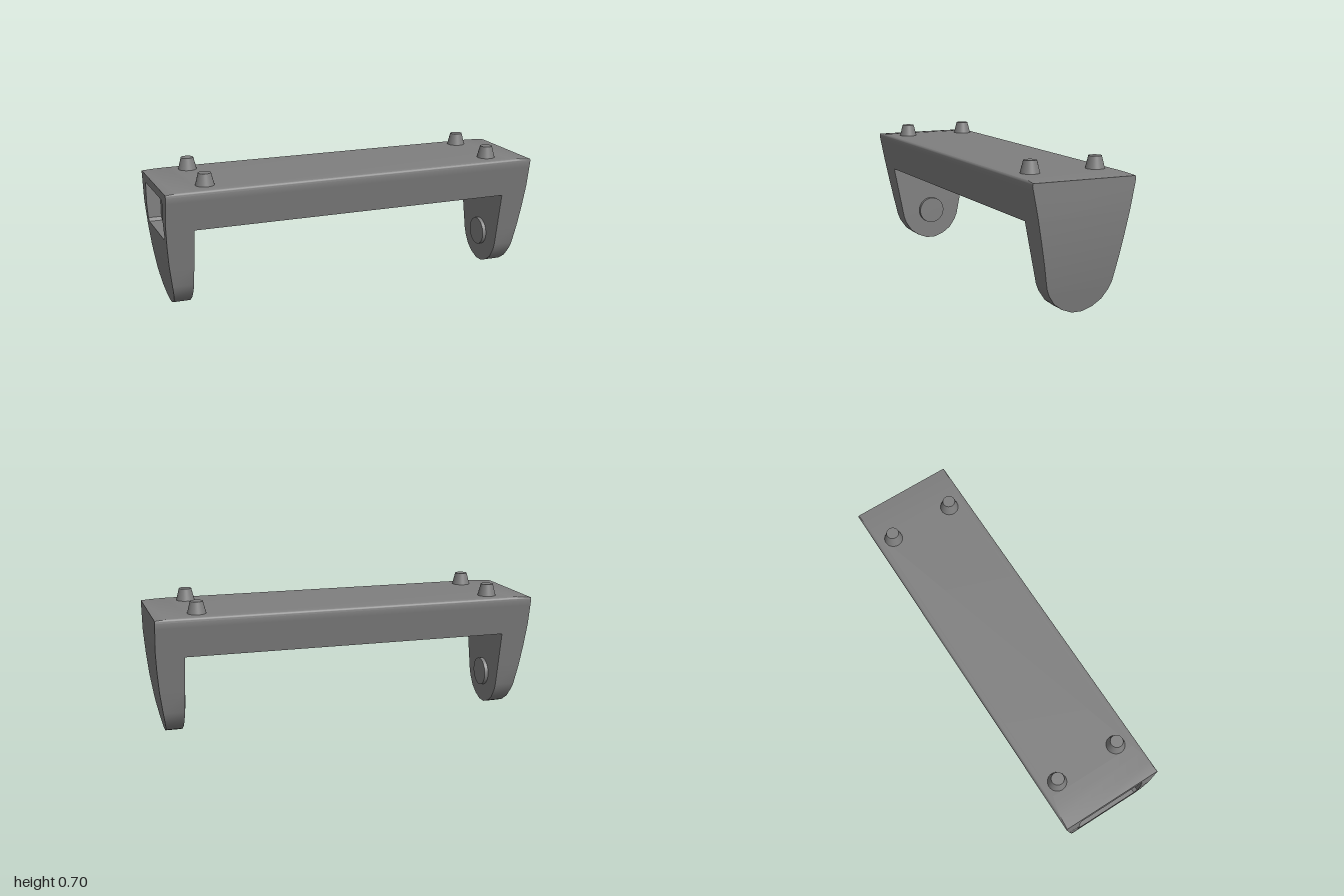
import * as THREE from 'three';
import { toCreasedNormals } from 'three/addons/utils/BufferGeometryUtils.js';

const material = new THREE.MeshStandardMaterial({ color: 0x7f7f7f });

// Linear interpolation through [y, value] pairs
function along(points) {
  return (y) => {
    for (let i = 1; i < points.length; i++) {
      const [y0, v0] = points[i - 1], [y1, v1] = points[i];
      if (y <= y1) return v0 + (v1 - v0) * (y - y0) / (y1 - y0);
    }
    return points[points.length - 1][1];
  };
}

// Half length and half depth of the bracket at each height
const end = along([[0, 0.938], [0.13, 0.963], [0.25, 0.981], [0.36, 0.992], [0.48, 1],
  [0.633, 1], [0.638, 0.94], [0.642, 0.88], [0.643, 0.83]]);
const depth = along([[0, 0.027], [0.02, 0.08], [0.052, 0.125], [0.1, 0.158], [0.135, 0.172],
  [0.62, 0.268], [0.628, 0.267], [0.633, 0.265], [0.638, 0.26], [0.642, 0.25], [0.643, 0.235]]);
const pocketHalf = along([[0.385, 0.165], [0.4, 0.183], [0.59, 0.183]]);

const INNER = 0.855, POCKET_X = 0.927, BEAM_Y = 0.435;
const LEG_ROWS = [0, 0.02, 0.052, 0.1, 0.135, 0.25, 0.36, 0.385];

// A box whose horizontal rows follow the given side functions of y
function block(name, rows, x0, x1, z0, z1) {
  const g = new THREE.BoxGeometry(1, 1, 1, 1, rows.length - 1, 1);
  const p = g.attributes.position;
  for (let i = 0; i < p.count; i++) {
    const y = rows[Math.round((p.getY(i) + 0.5) * (rows.length - 1))];
    p.setXYZ(i, p.getX(i) < 0 ? x0(y) : x1(y), y, p.getZ(i) < 0 ? z0(y) : z1(y));
  }
  const mesh = new THREE.Mesh(toCreasedNormals(g, 0.5), material);
  mesh.name = name;
  return mesh;
}

export function createModel() {
  const group = new THREE.Group();
  group.name = 'bracket';
  const neg = (f) => (y) => -f(y);
  const at = (v) => () => v;
  const back = neg(depth);

  // Crossbeam: body and eased top
  group.add(block('beam', [BEAM_Y, 0.48, 0.59], at(-POCKET_X), end, back, depth));
  group.add(block('beamTop', [0.59, 0.62, 0.628, 0.633, 0.638, 0.642, 0.643], neg(end), end, back, depth));

  // Tapered legs, the right one stopping below the pocket
  group.add(block('leftLeg', [...LEG_ROWS, BEAM_Y], at(INNER), end, back, depth));
  group.add(block('rightLeg', LEG_ROWS, neg(end), at(-INNER), back, depth));
  group.add(block('pocketBacking', [0.385, BEAM_Y], at(-POCKET_X), at(-INNER), back, depth));

  // Frame posts either side of the pocket in the right end
  const postRows = [0.385, 0.4, 0.48, 0.59];
  group.add(block('pocketPostFront', postRows, neg(end), at(-POCKET_X), pocketHalf, depth));
  group.add(block('pocketPostBack', postRows, neg(end), at(-POCKET_X), back, neg(pocketHalf)));

  const pegGeometry = new THREE.CylinderGeometry(0.032, 0.048, 0.063, 32);
  const discGeometry = new THREE.CylinderGeometry(0.075, 0.075, 0.03, 40);
  for (const side of [-1, 1]) {
    // Tapered pegs on top
    for (const z of [-0.178, 0.168]) {
      const peg = new THREE.Mesh(pegGeometry, material);
      peg.name = 'peg';
      peg.position.set(side * 0.78, 0.6725, z);
      group.add(peg);
    }
    // Pivot disc on the inner face of each leg
    const disc = new THREE.Mesh(discGeometry, material);
    disc.name = 'pivotDisc';
    disc.rotation.z = Math.PI / 2;
    disc.position.set(side * 0.85, 0.17, 0);
    group.add(disc);
  }
  return group;
}
